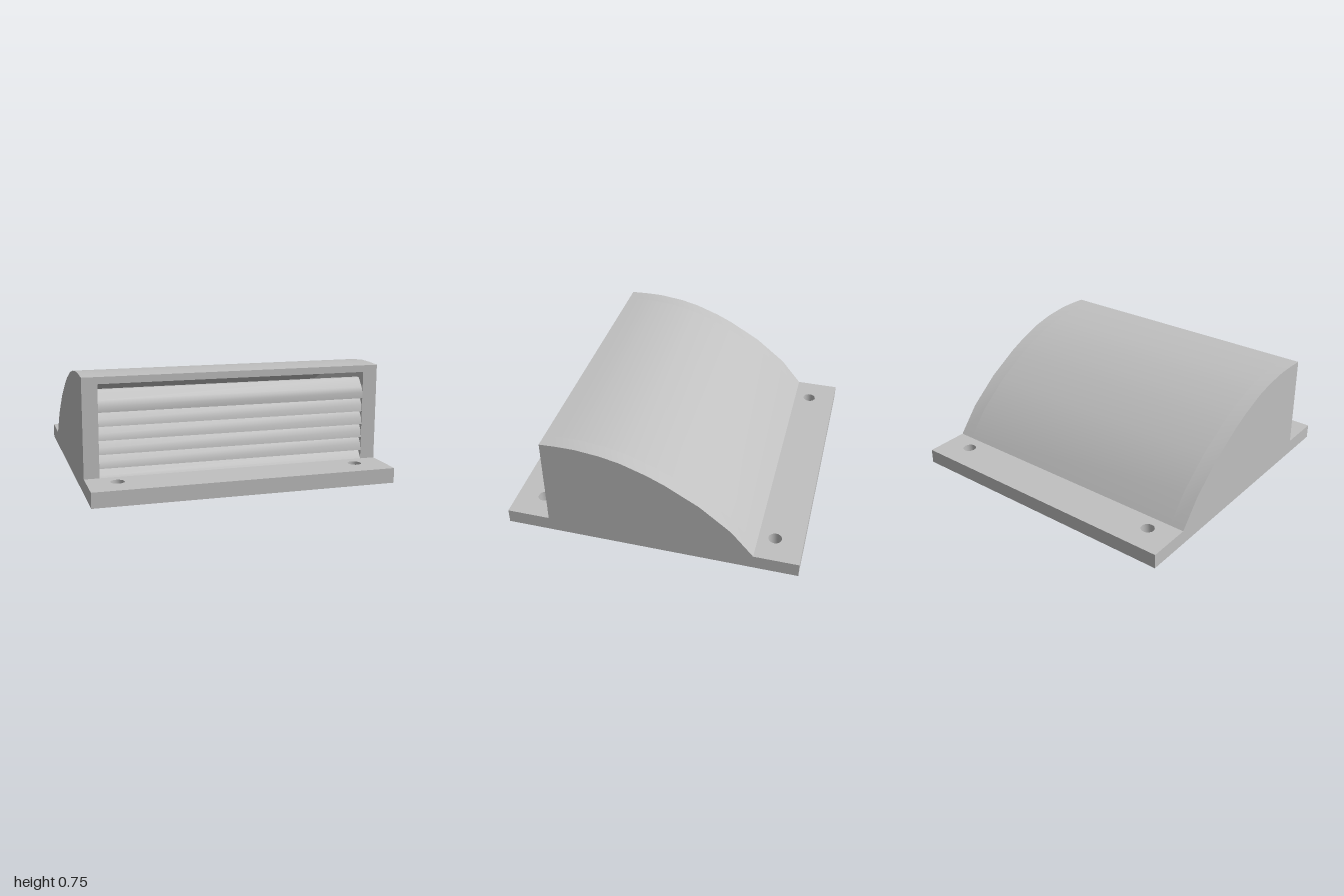
import * as THREE from 'three';
import { toCreasedNormals } from 'three/addons/utils/BufferGeometryUtils.js';

const metal = new THREE.MeshStandardMaterial({ color: 0xc0c0c0 });
metal.name = 'grey metal';

// Extrude a [z, y] profile along x between x0 and x1
function profileMesh(name, points, x0, x1, crease = 0.5) {
  const shape = new THREE.Shape(points.map(([z, y]) => new THREE.Vector2(-z, y)));
  const geo = new THREE.ExtrudeGeometry(shape, { depth: x1 - x0, bevelEnabled: false });
  geo.rotateY(Math.PI / 2).translate(x0, 0, 0);
  const mesh = new THREE.Mesh(toCreasedNormals(geo, crease), metal);
  mesh.name = name;
  return mesh;
}

// Mounting plate with a large opening and four screw holes
function basePlate() {
  const rect = (Type, x, z0, z1) => new Type([[-x, -z0], [x, -z0], [x, -z1], [-x, -z1]]
    .map(([a, b]) => new THREE.Vector2(a, b)));
  const shape = rect(THREE.Shape, 1, 1, -1);
  shape.holes.push(rect(THREE.Path, 0.9, 0.69, -0.7));
  for (const x of [-0.805, 0.805]) for (const z of [-0.81, 0.81]) {
    shape.holes.push(new THREE.Path().absarc(x, z, 0.045, 0, Math.PI * 2, true));
  }
  const geo = new THREE.ExtrudeGeometry(shape, { depth: 0.1, bevelEnabled: false, curveSegments: 10 });
  geo.rotateX(-Math.PI / 2);
  const mesh = new THREE.Mesh(toCreasedNormals(geo, 0.7), metal);
  mesh.name = 'basePlate';
  return mesh;
}

export function createModel() {
  const group = new THREE.Group();
  group.name = 'ventHood';
  const front = 0.705;

  // Outer curve of the hood, front to back, and the inner curve below it
  const outer = [[front, 0.745], [0.6, 0.75], [0.47, 0.75], [0.3, 0.73], [0.17, 0.7],
    [0, 0.637], [-0.12, 0.58], [-0.34, 0.45], [-0.55, 0.28], [-0.7, 0.1]];
  const inner = [[-0.7, 0], [-0.51, 0.25], [-0.31, 0.41], [-0.1, 0.535], [0.02, 0.59],
    [0.18, 0.65], [0.31, 0.68], [0.47, 0.7], [front, 0.7]];

  group.add(basePlate());
  group.add(profileMesh('curvedRoof', [...outer, ...inner], -0.9, 0.9));

  // Solid side walls
  const side = [[front, 0.1], ...outer];
  group.add(profileMesh('leftWall', side, 0.9, 1));
  group.add(profileMesh('rightWall', side, -1, -0.9));

  // Louvred front: each slat leans inward to its top, under the lip of the next
  const steps = [0.16, 0.25, 0.34, 0.43, 0.52];
  const louvre = [[front, 0.1]];
  for (const y of steps) {
    louvre.push([front - 0.008, y - 0.045], [front - 0.04, y], [front, y]);
  }
  louvre.push([front, 0.56], [0.69, 0.595], [0.64, 0.655], [0.615, 0.655], [0.655, 0.6]);
  for (const y of [...steps].reverse()) {
    louvre.push([0.667, y + 0.035], [0.645, y + 0.012], [0.64, y - 0.008], [0.65, y - 0.025]);
  }
  louvre.push([0.69, 0.1]);
  group.add(profileMesh('louvredFront', louvre, -0.9, 0.9, 0.75));

  return group;
}
